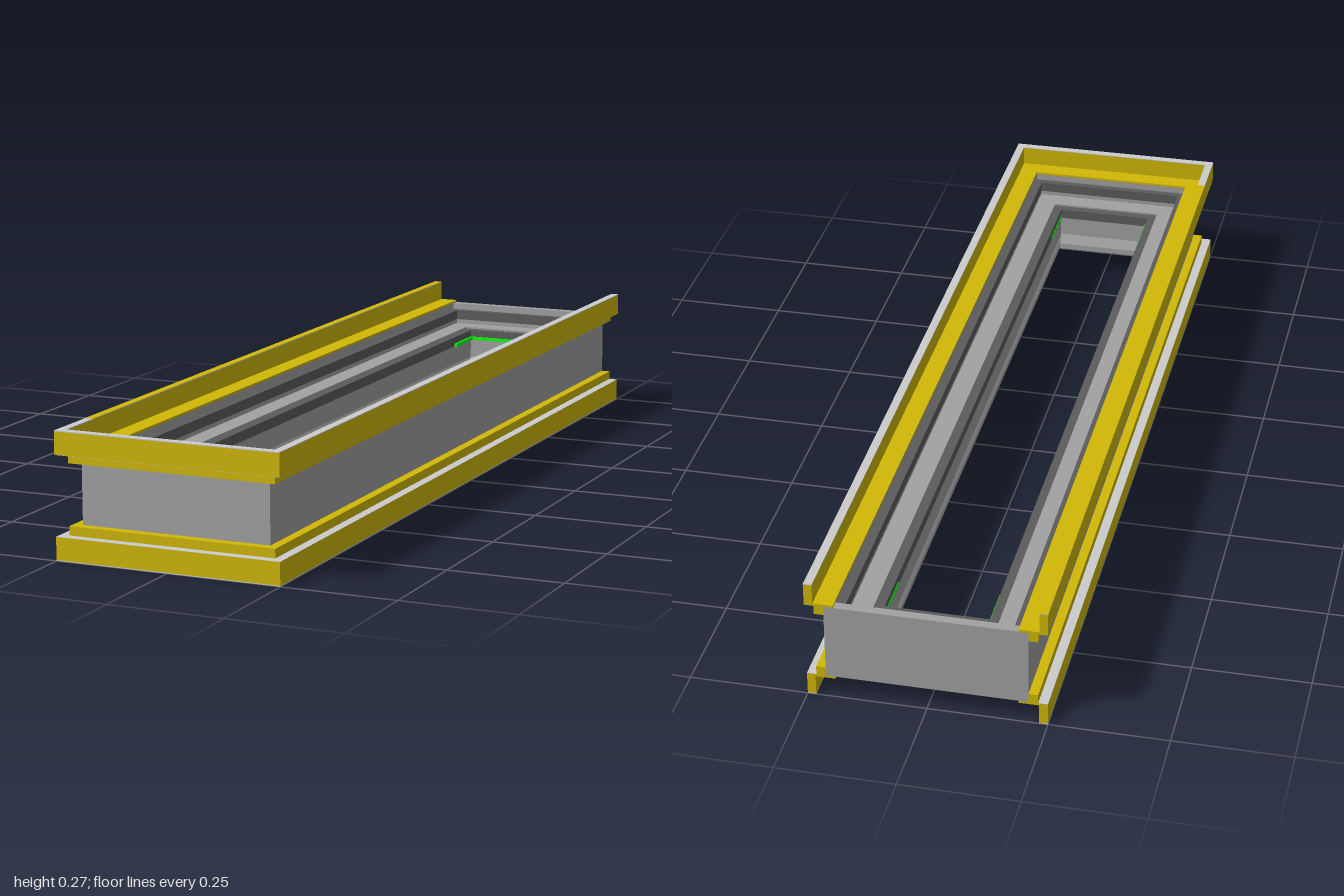
import * as THREE from 'three';

const light = new THREE.MeshStandardMaterial({ color: 0xcccccc });
const grey = new THREE.MeshStandardMaterial({ color: 0xa2a2a2 });
const dark = new THREE.MeshStandardMaterial({ color: 0x5c5c5c });
const gold = new THREE.MeshStandardMaterial({ color: 0xd1b806 });
const green = new THREE.MeshStandardMaterial({ color: 0x00ff00 });

const HALF_W = 0.21, FRONT = 0.96, BACK = -1, HEIGHT = 0.27;

// Sweeps a profile of [inset, y] points around the rectangular plan with mitred corners.
// closed: all four sides; otherwise a U that is cut off flat at the back.
function sweep(points, closed) {
  let prof = points.map(([d, y]) => new THREE.Vector2(d, y));
  if (THREE.ShapeUtils.area(prof) < 0) prof = prof.reverse();
  const at = (i, p) => {
    const side = i === 0 || i === 1 ? 1 : -1;
    const front = i === 1 || i === 2;
    const z = front ? FRONT - p.x : closed ? BACK + p.x : BACK;
    return [side * (HALF_W - p.x), p.y, z];
  };
  const pos = [];
  for (let i = 0; i < (closed ? 4 : 3); i++) {
    const k = (i + 1) % 4;
    prof.forEach((p, j) => {
      const q = prof[(j + 1) % prof.length];
      const a = at(i, p), b = at(i, q), c = at(k, q), d = at(k, p);
      pos.push(...a, ...d, ...c, ...a, ...c, ...b);
    });
  }
  if (!closed) {
    for (const [a, b, c] of THREE.ShapeUtils.triangulateShape(prof, [])) {
      pos.push(...at(0, prof[a]), ...at(0, prof[b]), ...at(0, prof[c]));
      pos.push(...at(3, prof[a]), ...at(3, prof[c]), ...at(3, prof[b]));
    }
  }
  const geo = new THREE.BufferGeometry();
  geo.setAttribute('position', new THREE.Float32BufferAttribute(pos, 3));
  geo.computeVertexNormals();
  return geo;
}

const rect = (d0, d1, y0, y1) => [[d0, y0], [d1, y0], [d1, y1], [d0, y1]];
const flip = (points) => points.map(([d, y]) => [d, HEIGHT - y]);

export function createModel() {
  const group = new THREE.Group();
  const add = (name, geo, mat) => {
    const mesh = new THREE.Mesh(geo, mat);
    mesh.name = name;
    group.add(mesh);
    return mesh;
  };
  const box = (name, mat, x0, x1, y0, y1, z0, z1) =>
    add(name, new THREE.BoxGeometry(x1 - x0, y1 - y0, z1 - z0), mat)
      .position.set((x0 + x1) / 2, (y0 + y1) / 2, (z0 + z1) / 2);

  // Main frame: plain outside, stepped rebates inside, bevelled lower edge
  add('frame', sweep([
    [0, 0.05], [0.09, 0.05], [0.096, 0.056], [0.096, 0.15], [0.08, 0.15],
    [0.08, 0.172], [0.035, 0.172], [0.035, 0.19], [0.02, 0.19], [0.02, 0.22], [0, 0.22],
  ], true), grey);
  // Dark seals lying on the rebates, and the pale trim in the opening
  add('upperSeal', sweep(rect(0.018, 0.036, 0.182, 0.205), true), dark);
  add('innerSeal', sweep(rect(0.078, 0.1, 0.145, 0.168), true), dark);
  add('openingWall', sweep(rect(0.094, 0.1, 0.1, 0.145), true), grey);
  add('openingTrim', sweep([[0.094, 0.07], [0.097, 0.07], [0.1, 0.1], [0.094, 0.1]], true), light);

  // Cover rails: U-shaped trims on three sides, mirrored top and bottom
  const rail = [
    [-0.04, 0.268], [-0.022, 0.268], [-0.022, 0.225], [0.02, 0.225], [0.02, 0.22],
    [0, 0.22], [0, 0.2], [-0.02, 0.2], [-0.02, 0.22], [-0.04, 0.22],
  ];
  const edge = rect(-0.04, -0.022, 0.268, 0.27);
  const lipUnderside = rect(-0.04, -0.02, 0.2195, 0.22);
  for (const [name, place] of [['upper', (p) => p], ['lower', flip]]) {
    add(name + 'Rail', sweep(place(rail), false), gold);
    add(name + 'RailEdge', sweep(place(edge), false), light);
    add(name + 'RailLip', sweep(place(lipUnderside), false), light);
  }
  // Gold edge along one long side of the upper rail
  box('upperRailSideEdge', gold, -0.25, -0.232, 0.268, 0.2704, -1, 0.87);

  // Gasket strips around the opening
  const inX = 0.11, inBack = -0.9, inFront = 0.86;
  box('backGasket', green, -inX, inX, 0.144, 0.152, inBack - 0.004, inBack + 0.003);
  for (const [z0, z1] of [[inBack, -0.79], [0.75, inFront]]) {
    box('rightGasket', green, -inX - 0.004, -inX + 0.006, 0.144, 0.152, z0, z1);
    box('leftGasket', green, inX - 0.001, inX + 0.004, 0.144, 0.152, z0, z1);
  }
  return group;
}
